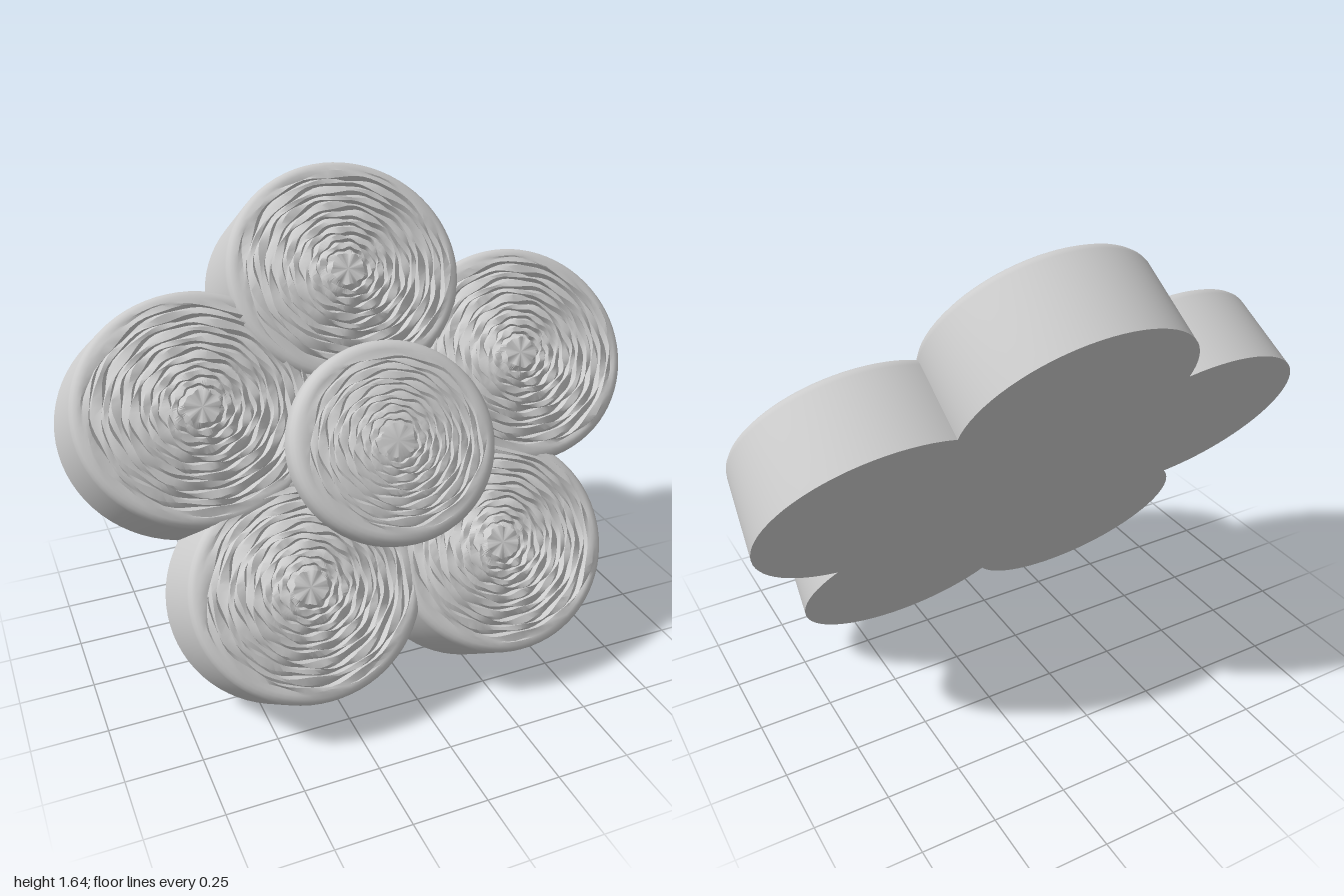
import * as THREE from 'three';
import { toCreasedNormals } from 'three/addons/utils/BufferGeometryUtils.js';

const stone = new THREE.MeshStandardMaterial({ color: 0xcccccc });
stone.name = 'light grey';

// Round slab facing +z: straight sides, rounded rim, face carved with uneven concentric ridges
function ringedSlab({ rx, ry, depth, taper, round, backRound = 0, ridge, seed }) {
  const front = rx * taper;
  const points = [new THREE.Vector2(0, 0)];
  if (backRound) {
    for (let i = 0; i <= 3; i++) {
      const a = (i / 3) * Math.PI / 2;
      points.push(new THREE.Vector2(rx - backRound * (1 - Math.sin(a)), backRound * (1 - Math.cos(a))));
    }
  } else {
    points.push(new THREE.Vector2(rx, 0));
  }
  for (let i = 0; i <= 4; i++) {
    const a = (i / 4) * Math.PI / 2;
    points.push(new THREE.Vector2(front - round * (1 - Math.cos(a)), depth - round * (1 - Math.sin(a))));
  }
  // Alternate crests and grooves from the rim to a small flat button
  const outer = front - round - 0.01, inner = 0.065, rings = 10;
  for (let i = 0; i < rings; i++) {
    const step = (outer - inner) / rings;
    const r = outer - i * step;
    points.push(new THREE.Vector2(r, depth));
    points.push(new THREE.Vector2(r - step * 0.55, depth + ridge * 0.4));
    points.push(new THREE.Vector2(r - step * 0.75, depth - ridge));
  }
  points.push(new THREE.Vector2(inner - 0.008, depth + ridge * 0.4));
  points.push(new THREE.Vector2(0, depth + ridge * 0.4));

  const geometry = new THREE.LatheGeometry(points, 72);
  const p = geometry.attributes.position;
  for (let i = 0; i < p.count; i++) {
    const x = p.getX(i), y = p.getY(i), z = p.getZ(i);
    const r = Math.hypot(x, z), a = Math.atan2(z, x);
    // Wobble the carved rings so they look hand cut
    if (r > 0.02 && r < outer + 0.004 && y > depth * 0.5) {
      const s = seed + r * 90;
      const k = 1 + (0.006 * Math.sin(5 * a + s) + 0.005 * Math.sin(11 * a + s * 2.3)) / (r + 0.08);
      p.setXYZ(i, x * k, y + ridge * 0.35 * Math.sin(7 * a + s * 1.7), z * k);
    }
  }
  geometry.rotateX(Math.PI / 2);
  geometry.scale(1, ry / rx, 1);
  return toCreasedNormals(geometry, 0.6);
}

export function createModel() {
  const model = new THREE.Group();
  model.name = 'flower';

  // The whole flower leans back on its lowest petals
  const flower = new THREE.Group();
  flower.name = 'leaningFlower';
  flower.rotation.x = -0.576;
  flower.position.z = 0.36;
  model.add(flower);

  const add = (name, geometry, x, y, z) => {
    const mesh = new THREE.Mesh(geometry, stone);
    mesh.name = name;
    mesh.position.set(x, y, z);
    flower.add(mesh);
  };

  // Five petals
  const petals = [
    ['topPetal', 0, 1.38, 0.415, 0.385, 0.335, 0.985],
    ['leftPetal', 0.57, 1.01, 0.43, 0.4, 0.318, 0.95],
    ['rightPetal', -0.57, 1.01, 0.43, 0.4, 0.318, 0.95],
    ['lowerLeftPetal', 0.345, 0.386, 0.408, 0.386, 0.315, 0.95],
    ['lowerRightPetal', -0.345, 0.386, 0.408, 0.386, 0.315, 0.95],
  ];
  petals.forEach(([name, x, y, rx, ry, depth, taper], i) => {
    add(name, ringedSlab({ rx, ry, depth, taper, round: 0.035, ridge: 0.011, seed: i * 1.9 }), x, y, 0);
  });

  // Solid middle behind the disc
  const core = new THREE.CylinderGeometry(0.34, 0.34, 0.28, 40).rotateX(Math.PI / 2);
  add('core', core, 0, 0.79, 0.14);

  // Raised centre disc
  add('centreDisc', ringedSlab({
    rx: 0.354, ry: 0.335, depth: 0.108, taper: 1, round: 0.04, backRound: 0.03, ridge: 0.005, seed: 11,
  }), 0, 0.782, 0.34);

  return model;
}
